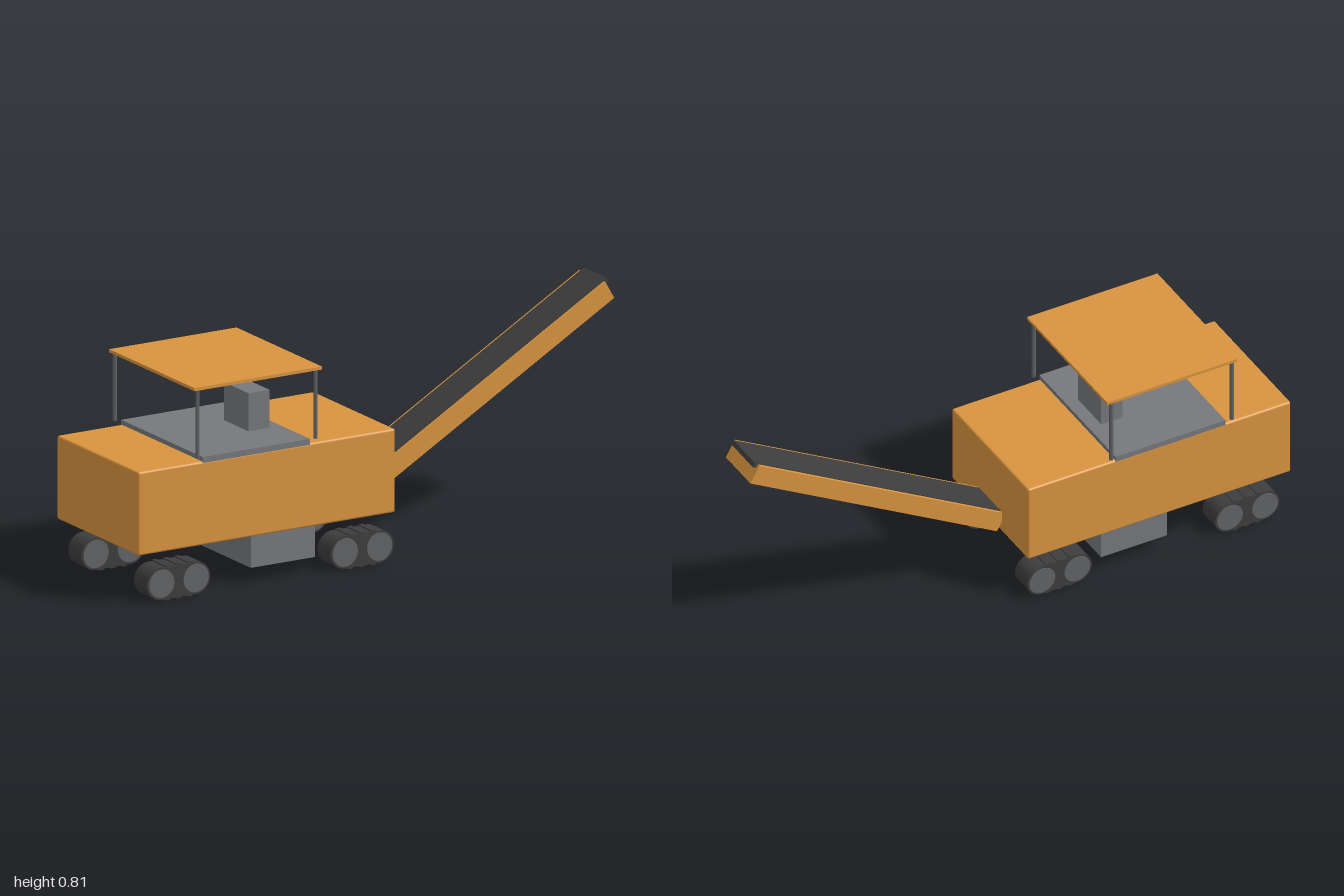
import * as THREE from 'three';
import { RoundedBoxGeometry } from 'three/addons/geometries/RoundedBoxGeometry.js';
import { toCreasedNormals } from 'three/addons/utils/BufferGeometryUtils.js';

const mat = (name, color) => {
  const m = new THREE.MeshStandardMaterial({ color });
  m.name = name;
  return m;
};

export function createModel() {
  const orange = mat('orange paint', 0xd9943f);
  const grey = mat('grey steel', 0x77787c);
  const wheelGrey = mat('wheel grey', 0x626366);
  const rubber = mat('black rubber', 0x3d3d3e);
  const model = new THREE.Group();
  model.name = 'millingMachine';

  const add = (parent, name, geometry, material, x, y, z) => {
    const mesh = new THREE.Mesh(geometry, material);
    mesh.name = name;
    mesh.position.set(x, y, z);
    parent.add(mesh);
    return mesh;
  };
  // Box given by its limits in x and y, and centred in z
  const box = (name, material, x0, x1, y0, y1, depth) =>
    add(model, name, new THREE.BoxGeometry(x1 - x0, y1 - y0, depth), material, (x0 + x1) / 2, (y0 + y1) / 2, 0);

  // Body, milling drum housing and driver's platform
  add(model, 'body', new RoundedBoxGeometry(1.02, 0.295, 0.53, 2, 0.008), orange, -0.49, 0.3225, 0);
  box('drumHousing', grey, -0.535, -0.28, 0.056, 0.18, 0.468);
  box('platform', grey, -0.745, -0.32, 0.465, 0.486, 0.53);
  box('console', grey, -0.45, -0.367, 0.486, 0.62, 0.16);

  // Canopy on four posts
  box('canopy', orange, -0.785, -0.28, 0.727, 0.738, 0.554);
  const postGeo = new THREE.CylinderGeometry(0.0075, 0.0075, 0.243, 10);
  for (const x of [-0.768, -0.3])
    for (const z of [-0.268, 0.268]) add(model, 'canopyPost', postGeo, wheelGrey, x, 0.6075, z);

  // Sloping conveyor with its belt
  const conveyor = new THREE.Group();
  conveyor.name = 'conveyor';
  conveyor.position.set(0.501, 0.493, 0);
  conveyor.rotation.z = Math.PI / 6;
  add(conveyor, 'boom', new THREE.BoxGeometry(1.105, 0.071, 0.17), orange, 0, 0, 0);
  add(conveyor, 'belt', new THREE.BoxGeometry(1.135, 0.017, 0.148), rubber, 0, 0.0295, 0);
  model.add(conveyor);

  // Four crawler units: stadium track, wheels on both faces, raised pads
  const r = 0.057, half = 0.068, width = 0.086;
  const outline = new THREE.Shape();
  outline.absarc(half, 0, r, -Math.PI / 2, Math.PI / 2, false);
  outline.absarc(-half, 0, r, Math.PI / 2, Math.PI * 1.5, false);
  outline.closePath();
  const trackGeo = toCreasedNormals(
    new THREE.ExtrudeGeometry(outline, { depth: width, bevelEnabled: false, curveSegments: 14 }), 0.6);
  trackGeo.translate(0, 0, -width / 2);
  const wheelGeo = new THREE.CylinderGeometry(0.05, 0.05, width + 0.005, 24);
  wheelGeo.rotateX(Math.PI / 2);
  const padGeo = new THREE.BoxGeometry(0.018, 0.01, width);
  for (const x of [-0.835, -0.107])
    for (const z of [-0.213, 0.213]) {
      const crawler = new THREE.Group();
      crawler.name = 'crawler';
      crawler.position.set(x, 0.0615, z);
      add(crawler, 'track', trackGeo, rubber, 0, 0, 0);
      for (const s of [-1, 1]) {
        add(crawler, 'wheel', wheelGeo, wheelGrey, s * half, 0, 0);
        for (const px of [-0.045, 0, 0.045]) add(crawler, 'trackPad', padGeo, rubber, px, s * 0.0565, 0);
      }
      model.add(crawler);
    }

  return model;
}
